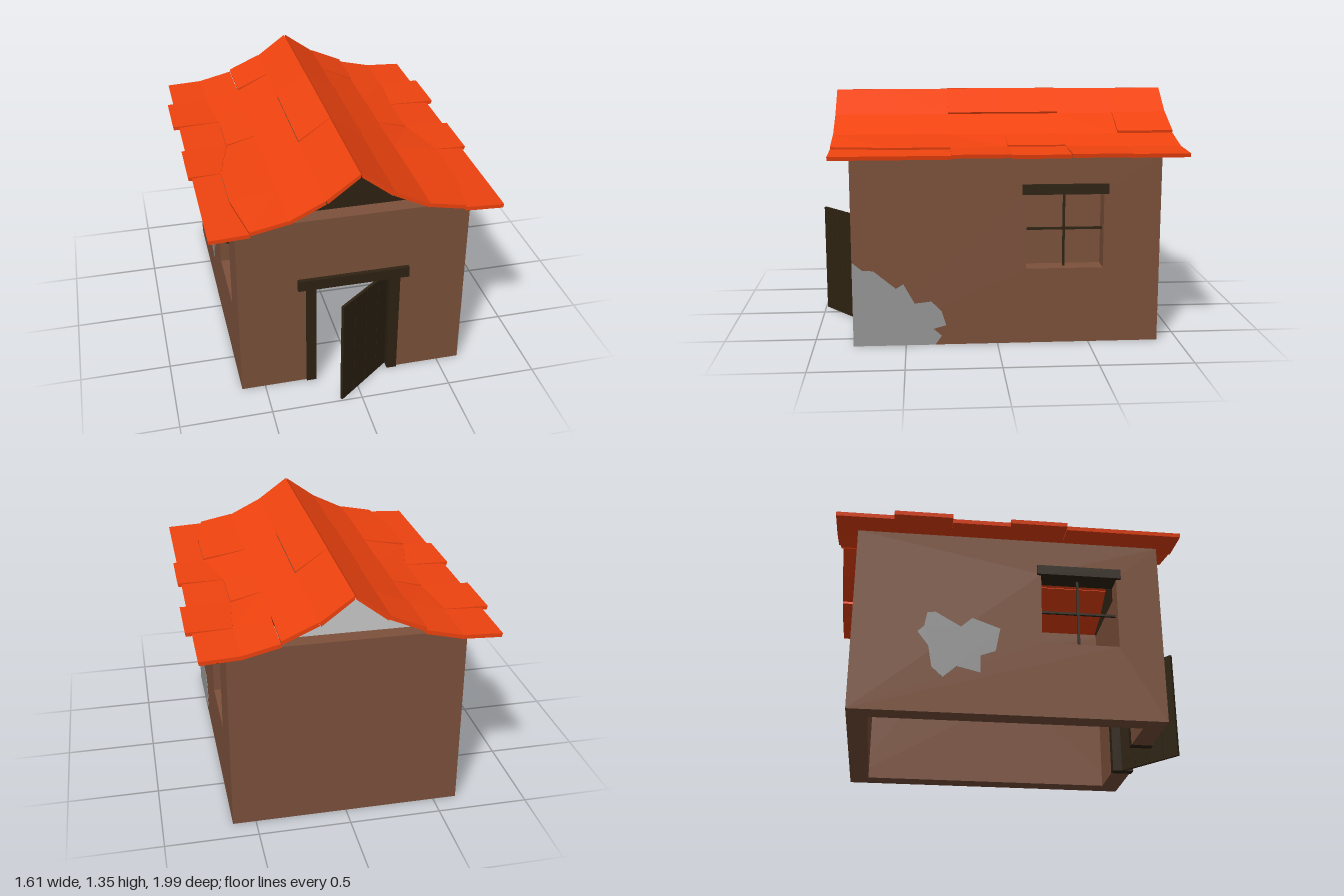
import * as THREE from 'three';

const mat = (color) => new THREE.MeshStandardMaterial({ color, flatShading: true });

export function createModel() {
  const house = new THREE.Group();
  const plaster = mat(0x7c513b), timber = mat(0x2e2312), tile = mat(0xf0430f);
  const stone = mat(0x969696), grey = mat(0xcccccc);

  const add = (name, geo, m, parent = house) => {
    const mesh = new THREE.Mesh(geo, m);
    mesh.name = name;
    parent.add(mesh);
    return mesh;
  };
  // box given by its minimum and maximum corners
  const box = (name, a, b, m, parent) => {
    const geo = new THREE.BoxGeometry(b[0] - a[0], b[1] - a[1], b[2] - a[2]);
    geo.translate((a[0] + b[0]) / 2, (a[1] + b[1]) / 2, (a[2] + b[2]) / 2);
    return add(name, geo, m, parent);
  };
  const poly = (pts) => new THREE.Shape(pts.map((p) => new THREE.Vector2(...p)));
  const rect = (x0, y0, x1, y1) => [[x0, y0], [x1, y0], [x1, y1], [x0, y1]];
  const extrude = (shape, depth) => new THREE.ExtrudeGeometry(shape, { depth, bevelEnabled: false });
  // extrusion drawn in (z, y), with its outer +x face at x
  const sideExtrude = (shape, depth, x) => extrude(shape, depth).rotateY(-Math.PI / 2).translate(x, 0, 0);

  // Walls
  const L = -0.63, R = 0.625, F = 0.785, B = -0.885, H = 1.045, T = 0.11;
  add('frontWall', extrude(poly([
    [L + T, 0], [-0.26, 0], [-0.26, 0.66], [0.255, 0.66], [0.255, 0], [R - T, 0], [R - T, H], [L + T, H],
  ]), T).translate(0, 0, F - T), plaster);
  box('backWall', [L + T, 0, B], [R - T, H, B + T], plaster);

  // Side walls, each with a window
  const sides = [
    { name: 'left', outer: R, inner: R - T, dir: 1, z: -0.365 },
    { name: 'right', outer: L, inner: L + T, dir: -1, z: 0.335 },
  ];
  for (const { name, outer, inner, dir, z } of sides) {
    const wall = poly(rect(B, 0, F, H));
    wall.holes.push(new THREE.Path(rect(z - 0.21, 0.42, z + 0.21, 0.835).map((p) => new THREE.Vector2(...p))));
    add(name + 'Wall', sideExtrude(wall, T, Math.max(outer, inner)), plaster);

    const win = new THREE.Group();
    win.name = name + 'Window';
    house.add(win);
    const mid = (outer + inner) / 2, tip = outer + dir * 0.018;
    box('windowLintel', [Math.min(inner, tip), 0.83, z - 0.233], [Math.max(inner, tip), 0.885, z + 0.233], timber, win);
    box('verticalBar', [mid - 0.007, 0.42, z - 0.006], [mid + 0.007, 0.83, z + 0.006], timber, win);
    box('horizontalBar', [mid - 0.007, 0.624, z - 0.21], [mid + 0.007, 0.636, z + 0.21], timber, win);
  }

  // Bare patches where the plaster has fallen off
  add('cornerPatch', sideExtrude(poly([
    [0.34, 0], [F, 0], [F, 0.47], [0.73, 0.425], [0.67, 0.42], [0.55, 0.32], [0.51, 0.345],
    [0.45, 0.235], [0.36, 0.245], [0.305, 0.19], [0.28, 0.11], [0.35, 0.09], [0.305, 0.05],
  ]), 0.004, R + 0.002), stone);
  add('wallPatch', sideExtrude(poly([
    [-0.49, 0.566], [-0.447, 0.57], [-0.31, 0.49], [-0.25, 0.545], [-0.1, 0.49], [-0.125, 0.357], [-0.205, 0.327],
    [-0.205, 0.23], [-0.33, 0.26], [-0.4, 0.195], [-0.46, 0.25], [-0.48, 0.37], [-0.54, 0.45], [-0.505, 0.484],
  ]), 0.004, L + 0.002), stone);

  // Door frame
  box('doorLintel', [-0.31, 0.63, F - T], [0.3, 0.69, 0.81], timber);
  box('doorPost', [-0.265, 0, F - T], [-0.21, 0.63, 0.797], timber);
  box('doorPost', [0.2, 0, F - T], [0.255, 0.63, 0.797], timber);

  // Planked door, standing ajar
  const door = new THREE.Group();
  door.name = 'door';
  door.position.set(0.205, 0, 0.735);
  door.rotation.y = 0.665;
  house.add(door);
  for (let i = 0; i < 4; i++) {
    box('doorPlank', [-0.102 * (i + 1) + 0.002, 0, -0.008], [-0.102 * i, 0.627, 0.008], timber, door);
  }

  // Gables filling the space under the roof curve
  const gable = poly([
    [-0.6, 1.035], [0.6, 1.035], [0.57, 1.057], [0.37, 1.105], [0.18, 1.2], [0, 1.325],
    [-0.18, 1.2], [-0.37, 1.105], [-0.57, 1.057],
  ]);
  add('frontGable', extrude(gable, 0.02).translate(0, 0, F - T), timber);
  add('backGable', extrude(gable, 0.02).translate(0, 0, B + T - 0.02), grey);

  // Roof: six rows of four sloping slabs on each side
  const roof = new THREE.Group();
  roof.name = 'roof';
  house.add(roof);
  const rowZ = [-1, -0.69, -0.375, -0.06, 0.25, 0.57, 0.885];
  const seam = [0.565, 0.565, 0.535, 0.535, 0.615, 0.615, 0.565];
  const eave = [0.772, 0.807, 0.772, 0.793, 0.772, 0.772];
  const heights = [1.343, 1.215, 1.122, 1.075, 1.065];
  const lift = [
    [0, 0.014, 0, 0], [0, 0, 0, 0.008], [0.009, 0, 0.008, 0],
    [0.009, 0, 0, 0.008], [0, 0, 0.011, 0], [0, 0, 0.011, 0],
  ];
  for (let r = 0; r < 6; r++) {
    for (let c = 0; c < 4; c++) {
      for (const s of [-1, 1]) {
        const geo = new THREE.BoxGeometry(1, 1, 1);
        const p = geo.attributes.position;
        for (let i = 0; i < p.count; i++) {
          // u steps away from the ridge, v steps along it
          const u = p.getX(i) * s > 0 ? c + 1 : c;
          const v = p.getZ(i) > 0 ? r + 1 : r;
          const x = [0.004, 0.18, 0.368, seam[v], eave[r]][u];
          const drop = p.getY(i) > 0 ? 0 : 0.021;
          const under = drop * (c === 0 ? 0.5 : 0.2) * (u === 0 ? 0 : 1);
          p.setXYZ(i, s * (x - under) - 0.002, heights[u] + lift[r][c] * (u > c ? 1 : 0.3) - drop, rowZ[v]);
        }
        geo.computeVertexNormals();
        add('roofSlab', geo, tile, roof);
      }
    }
  }
  return house;
}
